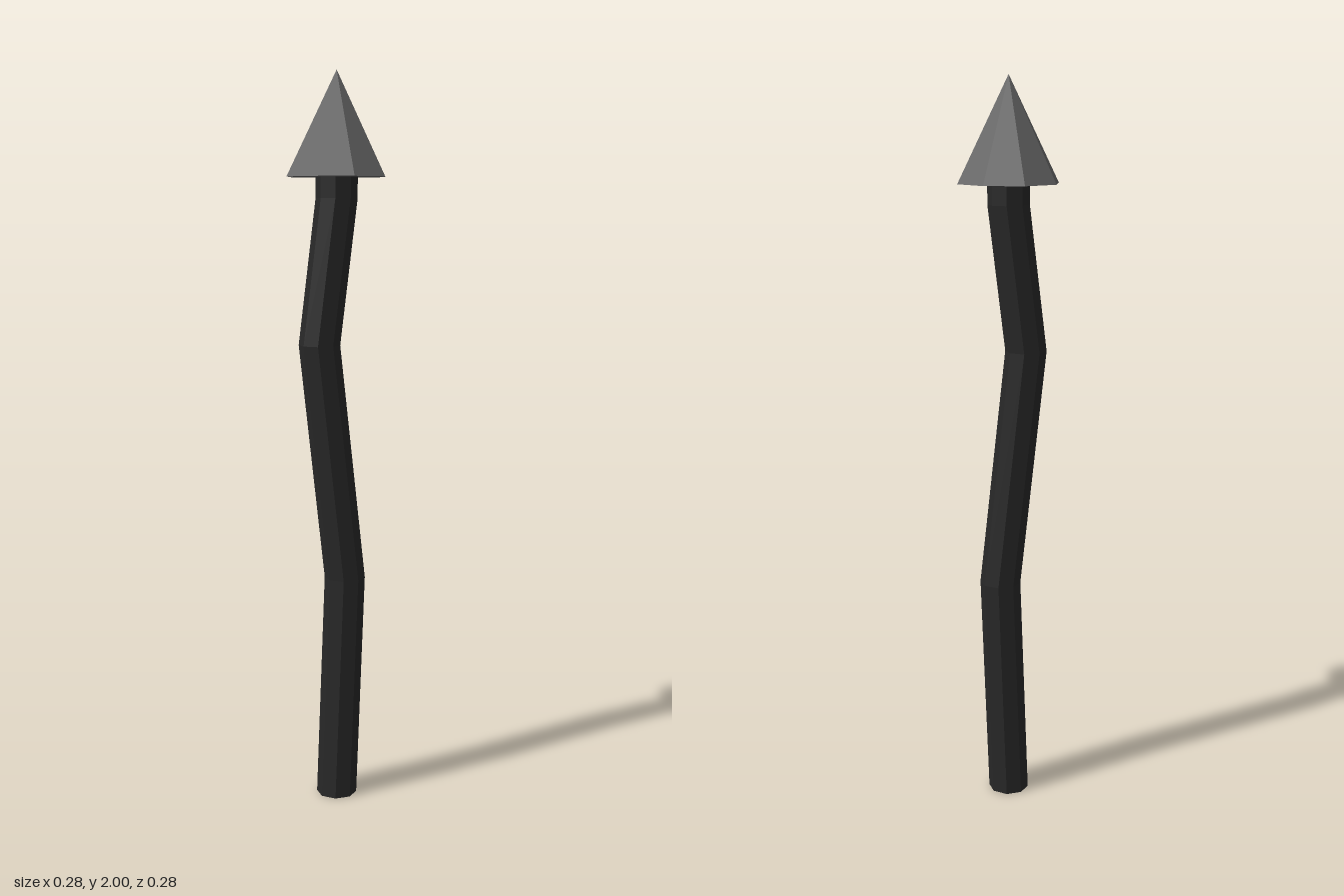
import * as THREE from 'three';

export function createModel() {
  const group = new THREE.Group();
  const darkMetal = new THREE.MeshStandardMaterial({ color: 0x282828, flatShading: true });
  darkMetal.name = 'dark shaft';
  const greyMetal = new THREE.MeshStandardMaterial({ color: 0x686868, flatShading: true });
  greyMetal.name = 'grey tip';

  // Crooked octagonal shaft: each ring of a cylinder moves to a bend point
  const bends = [[0, 0], [0.024, 0.63], [-0.049, 1.28], [0, 1.67], [0, 1.74]];
  const rings = bends.length - 1;
  const shaftGeo = new THREE.CylinderGeometry(0.056, 0.056, rings, 8, rings);
  shaftGeo.rotateY(Math.PI / 8).translate(0, rings / 2, 0);
  const p = shaftGeo.attributes.position;
  for (let i = 0; i < p.count; i++) {
    const [x, y] = bends[Math.round(p.getY(i))];
    p.setX(i, p.getX(i) + x);
    p.setY(i, y);
  }
  shaftGeo.computeVertexNormals();
  const shaft = new THREE.Mesh(shaftGeo, darkMetal);
  shaft.name = 'shaft';
  group.add(shaft);

  // Eight-sided pointed tip with a flat underside
  const tip = new THREE.Mesh(new THREE.ConeGeometry(0.139, 0.275, 8), greyMetal);
  tip.name = 'tip';
  tip.position.y = 2 - 0.275 / 2;
  group.add(tip);

  return group;
}
